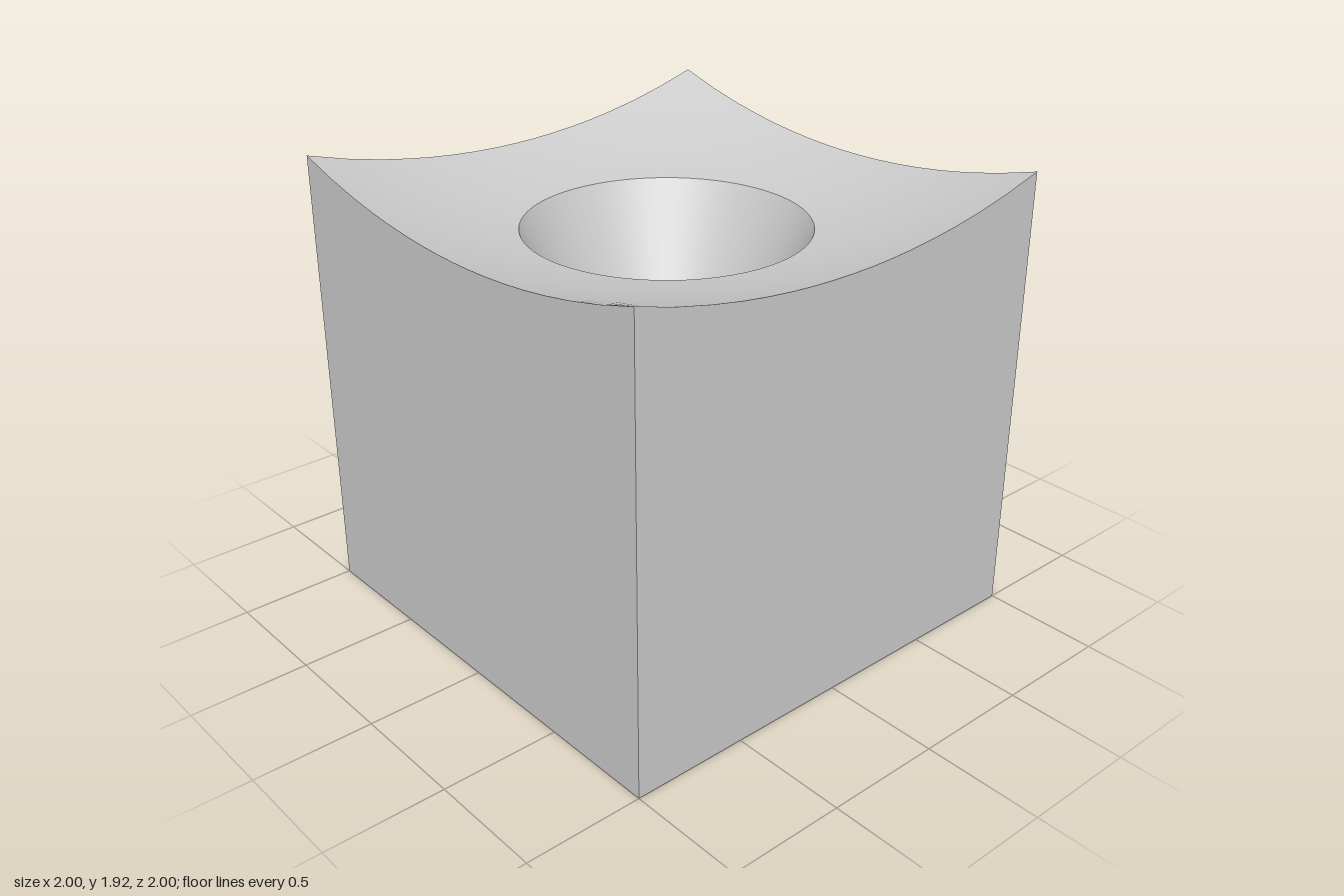
import * as THREE from 'three';

const SIDES = 64;          // steps around the recess, a multiple of 8 so corners are hit
const RINGS = 10;          // steps from the recess rim to the square edge
const RIM = 0.58, FLOOR = 0.34, FLOOR_Y = 1.17;
const DISH_R = 3.5, DISH_Y = 1.619;

// Height of the spherical dish at a distance r from the centre
const dish = (r) => DISH_Y + DISH_R - Math.sqrt(DISH_R * DISH_R - r * r);

// Concave top: rings that blend from the round rim to the square outline
function dishGeometry() {
  const pos = [], index = [];
  for (let j = 0; j <= RINGS; j++) {
    for (let i = 0; i < SIDES; i++) {
      const a = (i / SIDES) * Math.PI * 2;
      const c = Math.cos(a), s = Math.sin(a);
      const edge = 1 / Math.max(Math.abs(c), Math.abs(s));
      const r = THREE.MathUtils.lerp(RIM, edge, j / RINGS);
      pos.push(c * r, dish(r), s * r);
      if (j < RINGS) {
        const n = (i + 1) % SIDES;
        const p = j * SIDES + i, q = j * SIDES + n;
        index.push(p, q, p + SIDES, q, q + SIDES, p + SIDES);
      }
    }
  }
  const g = new THREE.BufferGeometry();
  g.setAttribute('position', new THREE.Float32BufferAttribute(pos, 3));
  g.setIndex(index);
  g.computeVertexNormals();
  return g;
}

// Side wall with a sagging top edge that meets the dish
function wallGeometry() {
  const shape = new THREE.Shape();
  shape.moveTo(-1, 0);
  shape.lineTo(1, 0);
  const n = SIDES / 4;
  for (let i = 0; i <= n; i++) {
    const x = Math.tan(Math.PI / 4 - (i / n) * Math.PI / 2);
    shape.lineTo(x, dish(Math.hypot(1, x)));
  }
  return new THREE.ShapeGeometry(shape).translate(0, 0, 1);
}

export function createModel() {
  const model = new THREE.Group();
  model.name = 'dishedBlock';
  const grey = new THREE.MeshStandardMaterial({ color: 0xcccccc });
  const inside = new THREE.MeshStandardMaterial({ color: 0xcccccc, side: THREE.BackSide });
  const add = (name, geometry, material = grey) => {
    const mesh = new THREE.Mesh(geometry, material);
    mesh.name = name;
    model.add(mesh);
    return mesh;
  };

  add('dishedTop', dishGeometry());

  // Four identical sides
  const wall = wallGeometry();
  ['frontWall', 'leftWall', 'backWall', 'rightWall'].forEach((name, i) => {
    add(name, wall).rotation.y = i * Math.PI / 2;
  });

  add('base', new THREE.PlaneGeometry(2, 2).rotateX(Math.PI / 2));

  // Tapered recess with a flat floor
  const rimY = dish(RIM);
  add('recessWall',
    new THREE.CylinderGeometry(RIM, FLOOR, rimY - FLOOR_Y, SIDES, 1, true)
      .translate(0, (rimY + FLOOR_Y) / 2, 0), inside);
  add('recessFloor',
    new THREE.CircleGeometry(FLOOR, SIDES).rotateX(-Math.PI / 2).translate(0, FLOOR_Y, 0));

  return model;
}
